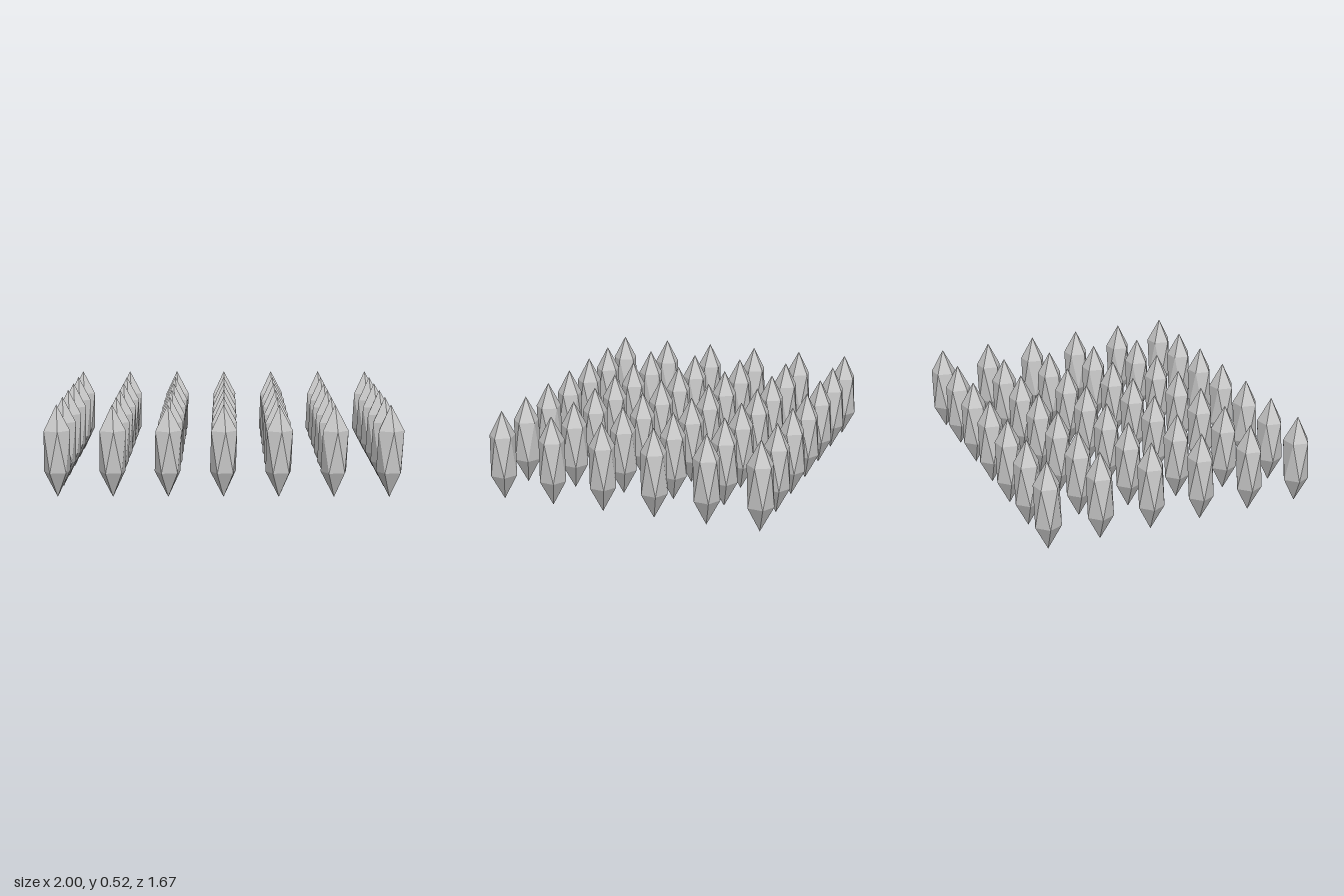
import * as THREE from 'three';

const COLUMNS = 7, ROWS = 6;
const STEP_X = 0.308, STEP_Z = 0.304;
const HEIGHT = 0.52, RADIUS = 0.0855;

// Icosahedron stood on one of its corners, turned and stretched upward
function crystalGeometry() {
  const golden = (1 + Math.sqrt(5)) / 2;
  const geometry = new THREE.IcosahedronGeometry(1, 0);
  geometry.rotateZ(Math.atan(1 / golden));
  geometry.rotateY(-Math.PI / 4);
  geometry.scale(RADIUS, HEIGHT / 2, RADIUS);
  geometry.translate(0, HEIGHT / 2, 0);
  geometry.computeVertexNormals();
  return geometry;
}

export function createModel() {
  const model = new THREE.Group();
  model.name = 'crystalField';
  const geometry = crystalGeometry();
  const material = new THREE.MeshStandardMaterial({ color: 0xcccccc, flatShading: true });

  // Even grid of identical crystals
  for (let row = 0; row < ROWS; row++) {
    const rowGroup = new THREE.Group();
    rowGroup.name = `crystalRow${row + 1}`;
    rowGroup.position.z = (row - (ROWS - 1) / 2) * STEP_Z;
    for (let column = 0; column < COLUMNS; column++) {
      const crystal = new THREE.Mesh(geometry, material);
      crystal.name = `crystal${column + 1}`;
      crystal.position.x = (column - (COLUMNS - 1) / 2) * STEP_X;
      rowGroup.add(crystal);
    }
    model.add(rowGroup);
  }
  return model;
}
